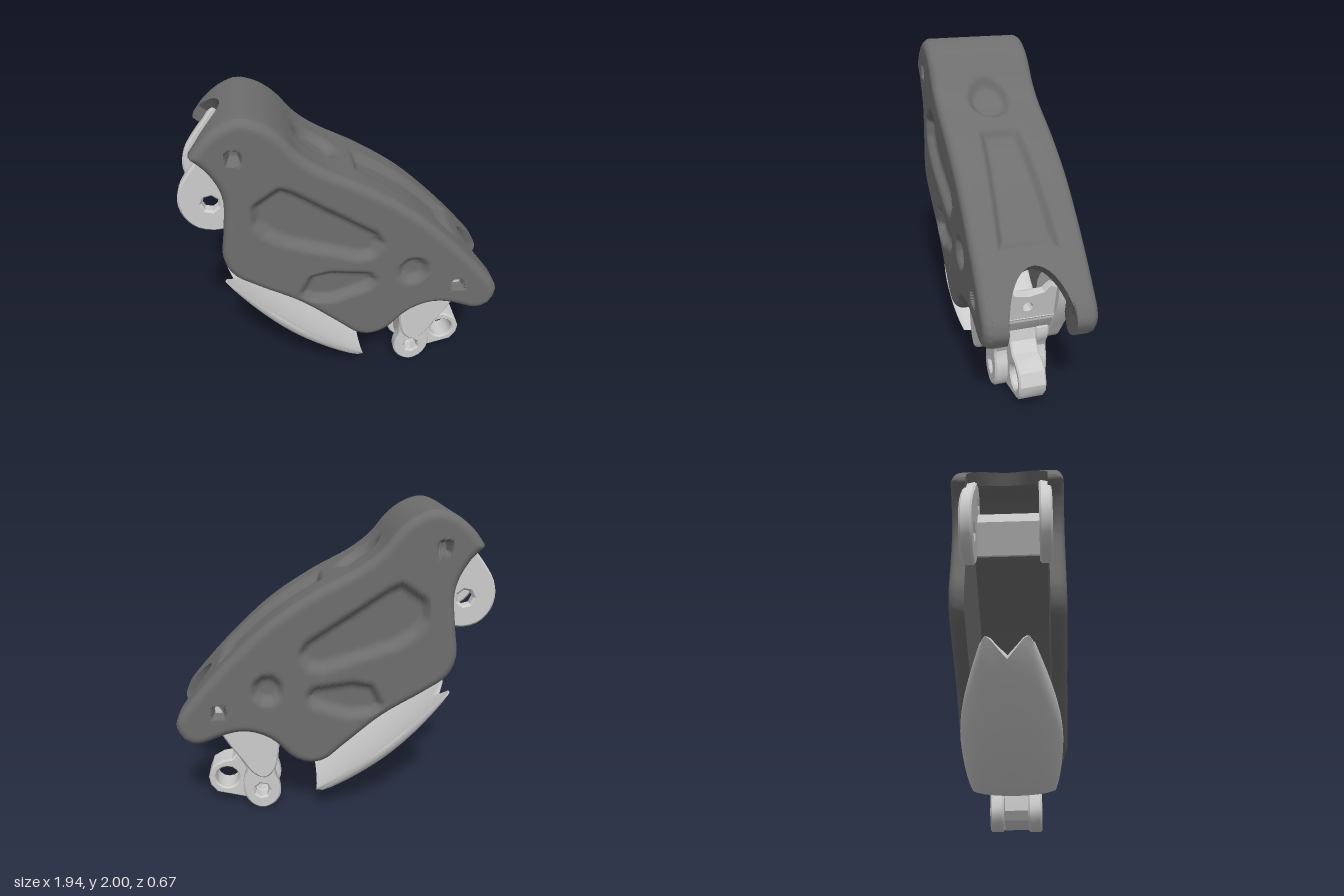
import * as THREE from 'three';
import { toCreasedNormals } from 'three/addons/utils/BufferGeometryUtils.js';

const dark = new THREE.MeshStandardMaterial({ color: 0x6e6e6e, side: THREE.DoubleSide });
const light = new THREE.MeshStandardMaterial({ color: 0xcccccc, side: THREE.DoubleSide });
const { clamp, smoothstep } = THREE.MathUtils;

const vec = ([x, y]) => new THREE.Vector2(x, y);
const ngon = (x, y, r, n) => Array.from({ length: n }, (_, i) => {
  const a = ((i + 0.5) / n) * Math.PI * 2;
  return [x + r * Math.cos(a), y + r * Math.sin(a)];
});
const spline = (pts, closed) => new THREE.CatmullRomCurve3(pts.map(([x, y]) => new THREE.Vector3(x, y, 0)), closed);
const smooth = (pts, n) => spline(pts, true).getPoints(n).slice(0, n).map(p => [p.x, p.y]);

// Distance from a point to a polygon's edge, positive inside
function insideDistance(x, y, poly) {
  let best = Infinity, inside = false;
  poly.forEach(([ax, ay], i) => {
    const [bx, by] = poly[(i + 1) % poly.length];
    const ex = bx - ax, ey = by - ay;
    const t = clamp(((x - ax) * ex + (y - ay) * ey) / (ex * ex + ey * ey), 0, 1);
    best = Math.min(best, Math.hypot(x - ax - t * ex, y - ay - t * ey));
    if ((ay > y) !== (by > y) && x < ax + (ex * (y - ay)) / ey) inside = !inside;
  });
  return inside ? best : -best;
}

function mesh(name, geo, mat, crease = 0.6) {
  const m = new THREE.Mesh(toCreasedNormals(geo, crease), mat);
  m.name = name;
  return m;
}

// Flat plate between z0 and z1 with chamfered outline and holes
function plate(outline, holes, z0, z1, bevel) {
  const shape = new THREE.Shape(outline.map(vec));
  holes.forEach(h => shape.holes.push(new THREE.Path(h.map(vec))));
  const geo = new THREE.ExtrudeGeometry(shape, {
    depth: z1 - z0 - 2 * bevel, bevelSize: bevel, bevelThickness: bevel, bevelSegments: 1, bevelOffset: -bevel,
  });
  return geo.translate(0, 0, z0 + bevel);
}

// Closed slab: point(u, v, inner) with u in 0..1 along it and v in -1..1 across
function slab(nu, nv, point) {
  const pos = [], idx = [], ring = 2 * (nv + 1);
  for (let i = 0; i <= nu; i++) {
    for (let k = 0; k < ring; k++) {
      const inner = k > nv;
      const j = inner ? ring - 1 - k : k;
      pos.push(...point(i / nu, (2 * j) / nv - 1, inner));
    }
  }
  for (let i = 0; i < nu; i++) {
    for (let k = 0; k < ring; k++) {
      const a = i * ring + k, b = i * ring + (k + 1) % ring;
      idx.push(a, b, a + ring, b, b + ring, a + ring);
    }
  }
  const end = nu * ring;
  for (let j = 0; j < nv; j++) {
    const a = j, b = j + 1, c = ring - 1 - j, d = ring - 2 - j;
    idx.push(a, c, b, b, c, d, end + a, end + b, end + c, end + b, end + d, end + c);
  }
  const geo = new THREE.BufferGeometry();
  geo.setAttribute('position', new THREE.Float32BufferAttribute(pos, 3));
  geo.setIndex(idx);
  return geo;
}

// Side profile of the shell, both edges from the upper tip to the lower tip
const topEdge = [[-0.88, 1.79], [-0.81, 1.88], [-0.71, 1.96], [-0.6, 2], [-0.47, 1.96], [-0.37, 1.88],
  [-0.28, 1.77], [-0.15, 1.67], [0.11, 1.53], [0.38, 1.35], [0.64, 1.11], [0.85, 0.88], [0.95, 0.75],
  [0.967, 0.68], [0.93, 0.6]];
const underEdge = [[-0.88, 1.775], [-0.81, 1.71], [-0.745, 1.6], [-0.72, 1.5], [-0.737, 1.29], [-0.755, 1.1],
  [-0.705, 0.98], [-0.57, 0.885], [-0.31, 0.73], [-0.07, 0.53], [0.05, 0.43], [0.14, 0.41], [0.25, 0.45],
  [0.37, 0.57], [0.46, 0.62], [0.56, 0.64], [0.67, 0.62], [0.77, 0.58], [0.85, 0.56], [0.92, 0.59]];

// Floors of the side pockets
const pockets = [
  [[-0.53, 1.36], [-0.48, 1.29], [-0.37, 1.22], [0.06, 1.08], [0.13, 1.09], [0.17, 1.15], [0.14, 1.2],
    [-0.35, 1.52], [-0.4, 1.54], [-0.53, 1.45]],
  [[-0.23, 0.78], [-0.11, 0.77], [0.1, 0.84], [0.13, 0.87], [0.11, 0.9], [-0.12, 0.93], [-0.22, 0.91],
    [-0.27, 0.81]],
  ngon(0.4, 0.925, 0.06, 8),
];
const upperPin = [-0.64, 1.78], lowerPin = [0.7, 0.785];
const pinSockets = [ngon(...upperPin, 0.035, 4), ngon(...lowerPin, 0.035, 4)];

function buildShell() {
  const shell = new THREE.Group();
  shell.name = 'shell';
  const top = spline(topEdge), under = spline(underEdge);
  const outline = [...top.getSpacedPoints(45), ...under.getSpacedPoints(50).reverse()].map(p => [p.x, p.y]);

  // Side walls with rounded rim, pockets and pin sockets
  const rim = 0.055;
  for (const s of [1, -1]) {
    const wall = slab(150, 64, (u, v, inner) => {
      const k = 0.5 + 0.5 * s * Math.sin(v * Math.PI / 2);
      const p = top.getPointAt(u).lerp(under.getPointAt(u), k);
      if (inner) return [p.x, p.y, s * (0.24 - 0.045 * smoothstep(p.x, 0.6, 0.85))];
      const edge = rim - clamp(insideDistance(p.x, p.y, outline), 0, rim);
      let drop = rim - Math.sqrt(rim * rim - edge * edge);
      for (const q of pockets) drop = Math.max(drop, 0.05 * clamp(1 + insideDistance(p.x, p.y, q) / 0.045, 0, 1));
      for (const q of pinSockets) drop = Math.max(drop, 0.08 * clamp(1 + insideDistance(p.x, p.y, q) / 0.02, 0, 1));
      return [p.x, p.y, s * (0.335 - drop)];
    });
    shell.add(mesh('sideWall', wall, dark, 0.9));
  }

  // Cover over the top, notched at both ends, with a round and a tapered recess
  const recess = (x, z) => {
    const round = 0.14 - Math.hypot(x + 0.17, z);
    const a = Math.abs(z);
    const taper = Math.min(x - 0.05, 0.7 - x, 0.13 + 0.09 * (x - 0.05) - a, 0.8 * (x + 0.08 - a));
    return 0.045 * smoothstep(Math.max(round, taper), 0, 0.055);
  };
  const cover = slab(90, 40, (u, v, inner) => {
    const start = 0.1 * (1 - v * v);
    const end = 1 - 0.18 * Math.sqrt(Math.max(0, 1 - (v / 0.72) ** 2));
    const t = start + (end - start) * u;
    const p = top.getPointAt(t), d = top.getTangentAt(t), z = v * 0.285;
    const depth = inner ? 0.08 : recess(p.x, z);
    return [p.x + d.y * depth, p.y - d.x * depth, z];
  });
  shell.add(mesh('topCover', cover, dark, 0.8));
  return shell;
}

// Paired lugs at the upper end, joined by a web
function buildUpperBracket() {
  const g = new THREE.Group();
  g.name = 'upperBracket';
  const lug = smooth([[-0.74, 1.285], [-0.87, 1.3], [-0.945, 1.37], [-0.977, 1.47], [-0.96, 1.57], [-0.9, 1.67],
    [-0.83, 1.76], [-0.74, 1.87], [-0.64, 1.9], [-0.55, 1.86], [-0.52, 1.77], [-0.57, 1.55], [-0.64, 1.35]], 36);
  const holes = [ngon(-0.795, 1.465, 0.05, 7), ngon(...upperPin, 0.03, 8)];
  for (const z of [0.187, -0.262]) g.add(mesh('upperLug', plate(lug, holes, z, z + 0.075, 0.012), light, 0.4));
  const web = [[-0.67, 1.62], [-0.58, 1.44], [-0.52, 1.47], [-0.56, 1.7], [-0.64, 1.7]];
  g.add(mesh('upperWeb', plate(web, [], -0.2, 0.2, 0.005), light, 0.4));
  return g;
}

// Lower bracket with side plates, front panel and hinge knuckle
function buildLowerBracket() {
  const g = new THREE.Group();
  g.name = 'lowerBracket';
  const side = smooth([[0.35, 0.65], [0.345, 0.45], [0.375, 0.335], [0.44, 0.285], [0.51, 0.32], [0.58, 0.42],
    [0.69, 0.59], [0.745, 0.73], [0.74, 0.83], [0.66, 0.86], [0.5, 0.8]], 33);
  const lug = smooth([[0.46, 0], [0.385, 0.03], [0.34, 0.1], [0.345, 0.17], [0.37, 0.25], [0.38, 0.48],
    [0.59, 0.48], [0.605, 0.39], [0.56, 0.3], [0.585, 0.2], [0.575, 0.1], [0.53, 0.03]], 36);
  for (const s of [1, -1]) {
    const span = (a, b) => (s > 0 ? [a, b] : [-b, -a]);
    g.add(mesh('sidePlate', plate(side, [ngon(...lowerPin, 0.03, 8)], ...span(0.17, 0.268), 0.012), light, 0.4));
    g.add(mesh('hingeLug', plate(lug, [ngon(0.46, 0.135, 0.05, 7)], ...span(0.078, 0.167), 0.012), light, 0.4));
  }
  const link = [[0.42, 0.065], [0.53, 0.025], [0.77, 0.085], [0.81, 0.14], [0.82, 0.2], [0.79, 0.28],
    [0.72, 0.32], [0.66, 0.33], [0.61, 0.39], [0.6, 0.46], [0.42, 0.46], [0.38, 0.3], [0.38, 0.12]];
  const linkHoles = [ngon(0.695, 0.195, 0.078, 14), ngon(0.46, 0.135, 0.05, 7)];
  g.add(mesh('hingeRing', plate(link, linkHoles, -0.085, 0.085, 0.01), light, 0.5));
  const core = [[0.38, 0.6], [0.39, 0.4], [0.46, 0.32], [0.57, 0.42], [0.67, 0.58], [0.61, 0.63]];
  g.add(mesh('bracketCore', plate(core, [], -0.175, 0.175, 0.004), light, 0.4));
  // Panel facing out of the open end, with a screw hole and a scalloped top
  const panel = [[-0.17, 0], [0.17, 0], [0.17, 0.24], [0.13, 0.265], [0.09, 0.22], [0, 0.2], [-0.09, 0.22],
    [-0.13, 0.265], [-0.17, 0.24]];
  const geo = plate(panel, [ngon(0, 0.12, 0.03, 10)], -0.05, 0, 0.004);
  geo.rotateY(Math.PI / 2).rotateZ(-0.2).translate(0.66, 0.55, 0);
  g.add(mesh('frontPanel', geo, light, 0.4));
  return g;
}

// Detached curved pad below the shell, with a notch between two horns at its upper end
function buildPad() {
  const geo = slab(16, 20, (u, v, inner) => {
    const side = Math.sin(v * Math.PI / 2), a = Math.abs(side);
    const shift = 0.1 * Math.max(0, 1 - a / 0.65) + 0.04 * smoothstep(a, 0.8, 1);
    const t = u + (1 - u) * shift;
    const w = 0.15 + 0.155 * Math.sin(Math.min(1, u * 1.5) * Math.PI / 2) - 0.05 * u ** 6;
    const bulge = 0.025 + 0.04 * t + 0.095 * Math.max(0, Math.sin(Math.PI * t)) ** 0.7;
    const depth = bulge * Math.cos(v * Math.PI / 2) * (inner ? 1 : 0.4);
    const tuck = inner ? 0.035 * t ** 4 : 0;
    return [-0.765 + 0.875 * t - 0.575 * depth - tuck, 0.805 - 0.62 * t - 0.818 * depth, w * side];
  });
  return mesh('pad', geo, light, 0.5);
}

export function createModel() {
  const model = new THREE.Group();
  model.name = 'fingerSegment';
  model.add(buildShell(), buildUpperBracket(), buildLowerBracket(), buildPad());
  return model;
}
